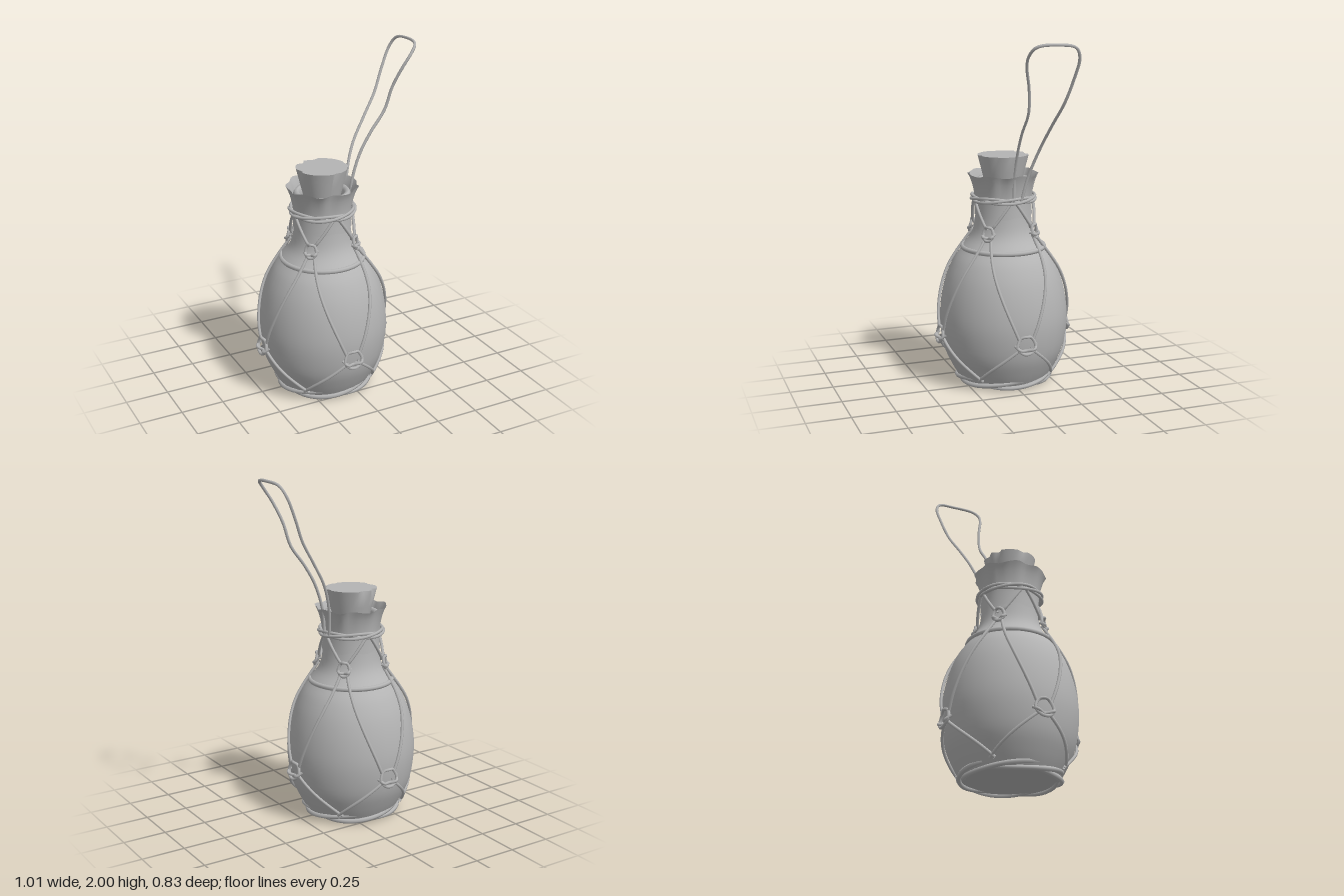
import * as THREE from 'three';

const V2 = (p) => new THREE.Vector2(p[0], p[1]);
const V3 = (p) => new THREE.Vector3(p[0], p[1], p[2]);
const polar = (a, r, y) => new THREE.Vector3(Math.sin(a) * r, y, Math.cos(a) * r);

// Outer silhouette of the bottle, [radius, height]
const lower = new THREE.SplineCurve([[0.265, 0.02], [0.31, 0.1], [0.355, 0.21], [0.376, 0.36], [0.366, 0.5],
  [0.335, 0.63], [0.29, 0.73], [0.245, 0.79]].map(V2)).getPoints(28);
const upper = new THREE.SplineCurve([[0.235, 0.815], [0.198, 0.86], [0.175, 0.91], [0.163, 0.98],
  [0.157, 1.07], [0.155, 1.16]].map(V2)).getPoints(16);
const outline = [...lower, ...upper];

// Bottle radius at a height
function radiusAt(y) {
  for (let i = 1; i < outline.length; i++) {
    const a = outline[i - 1], b = outline[i];
    if (y <= b.y) return THREE.MathUtils.lerp(a.x, b.x, Math.max(0, (y - a.y) / (b.y - a.y)));
  }
  return outline[outline.length - 1].x;
}

export function createModel() {
  const grey = new THREE.MeshStandardMaterial({ color: 0xb4b4b4, side: THREE.DoubleSide });
  grey.name = 'plain grey';
  const model = new THREE.Group();
  const vessel = new THREE.Group();
  vessel.name = 'bottle';
  vessel.position.x = -0.1;
  model.add(vessel);

  const add = (parent, name, geometry) => {
    const mesh = new THREE.Mesh(geometry, grey);
    mesh.name = name;
    parent.add(mesh);
    return mesh;
  };
  const cord = (parent, name, points, radius, segments, closed = false) => add(parent, name,
    new THREE.TubeGeometry(new THREE.CatmullRomCurve3(points, closed), segments, radius, 6, closed));

  // Body, neck, rounded lip and base
  add(vessel, 'body', new THREE.LatheGeometry(lower, 32));
  add(vessel, 'neck', new THREE.LatheGeometry(upper, 32));
  add(vessel, 'lip', new THREE.LatheGeometry([[0.155, 1.15], [0.163, 1.17], [0.163, 1.19], [0.153, 1.205],
    [0.138, 1.205], [0.127, 1.19], [0.122, 1.16], [0.12, 1.08]].map(V2), 32));
  const base = add(vessel, 'base', new THREE.CircleGeometry(0.265, 32));
  base.rotation.x = Math.PI / 2;
  base.position.y = 0.02;
  const ridge = add(vessel, 'shoulderRidge', new THREE.TorusGeometry(0.238, 0.014, 8, 40));
  ridge.rotation.x = Math.PI / 2;
  ridge.position.y = 0.803;

  // Tapered cork with chipped upper edge
  const cork = new THREE.CylinderGeometry(0.148, 0.098, 0.2, 40, 4);
  const chips = { 1: 0.93, 6: 0.95, 19: 0.9, 20: 0.86, 21: 0.93, 23: 0.88, 24: 0.84, 30: 0.93, 31: 0.9, 10: 0.95 };
  const cp = cork.attributes.position;
  for (let i = 0; i < cp.count; i++) {
    if (cp.getY(i) < 0.09) continue;
    const x = cp.getX(i), z = cp.getZ(i);
    const k = Math.round(((Math.atan2(x, z) / (2 * Math.PI)) + 1) * 40) % 40;
    const s = chips[k] ?? 1;
    cp.setXYZ(i, x * s, cp.getY(i), z * s);
  }
  cork.computeVertexNormals();
  add(vessel, 'cork', cork).position.y = 1.242;

  // Gathered cloth collar, folds growing toward the flared rim
  const cloth = new THREE.CylinderGeometry(1, 1, 1, 56, 8, true);
  const flare = new THREE.SplineCurve([[0.168, 0.99], [0.165, 1.05], [0.166, 1.1], [0.174, 1.15],
    [0.187, 1.2], [0.203, 1.235]].map(V2));
  const pos = cloth.attributes.position;
  for (let i = 0; i < pos.count; i++) {
    const t = pos.getY(i) + 0.5;
    const a = Math.atan2(pos.getX(i), pos.getZ(i));
    const p = flare.getPoint(t);
    const fold = Math.sin(a * 9) + 0.6 * Math.sin(a * 14 + 1);
    const v = polar(a, p.x + 0.0055 * fold * t * t, p.y + 0.006 * Math.sin(a * 7 + 2) * (2 * t - 1) * (2 * t - 1));
    pos.setXYZ(i, v.x, v.y, v.z);
  }
  cloth.computeVertexNormals();
  add(vessel, 'clothCollar', cloth);

  // Twisted ropes around the base and the neck
  function rope(name, strands, turns, r, y, dr, dy, thick) {
    for (let s = 0; s < strands; s++) {
      const pts = [];
      for (let i = 0; i < 40; i++) {
        const a = (i / 40) * Math.PI * 2, ph = a * turns + (s / strands) * Math.PI * 2;
        pts.push(polar(a, r + dr * Math.cos(ph), y + dy * Math.sin(ph)));
      }
      cord(vessel, name, pts, thick, 90, true);
    }
  }
  rope('baseRope', 3, 2, 0.265, 0.036, 0.014, 0.021, 0.014);
  rope('neckRope', 3, 2, 0.182, 1.094, 0.006, 0.014, 0.009);

  // Cord running over the bottle surface between two angles and heights
  function netCord(a0, y0, a1, y1) {
    const pts = [];
    for (let i = 0; i <= 8; i++) {
      const t = i / 8, y = THREE.MathUtils.lerp(y0, y1, t);
      const gap = y > 0.95 ? 0.019 : 0.011;
      pts.push(polar(THREE.MathUtils.lerp(a0, a1, t), radiusAt(y) + gap, y));
    }
    cord(vessel, 'netCord', pts, 0.009, 24);
  }

  // Loose knot: a tilted loop with a second strand hooked through it
  function knot(a, y, w, h, r) {
    const g = new THREE.Group();
    g.name = 'knot';
    g.position.copy(polar(a, r, y));
    g.rotation.y = a;
    cord(g, 'knotLoop', [[-w, -h * 0.25, 0.004], [-w * 0.6, h * 0.8, -0.002], [0, h, 0.008], [w * 0.6, h * 0.8, -0.002],
      [w, -h * 0.25, 0.004], [w * 0.4, -h, 0.014], [-w * 0.4, -h, 0.014]].map(V3), 0.009, 36, true);
    cord(g, 'knotHook', [[-w * 1.15, -h * 0.1, -0.012], [-w * 0.8, -h * 0.5, 0.018], [0, -h * 0.7, -0.002],
      [w * 0.8, -h * 0.5, 0.018], [w * 1.15, 0, -0.012]].map(V3), 0.009, 20);
    vessel.add(g);
  }

  // Diamond net, repeated on four sides
  for (let q = 0; q < 4; q++) {
    const a = q * Math.PI / 2;
    knot(a, 0.31, 0.054, 0.048, 0.388);
    knot(a + Math.PI / 4, 0.91, 0.032, 0.038, 0.198);
    for (const s of [-1, 1]) {
      netCord(a + s * 0.83, 0.06, a + s * 0.07, 0.285);
      netCord(a + s * 0.11, 0.34, a + s * (Math.PI / 4 - 0.08), 0.89);
      netCord(a + s * (Math.PI / 4 - 0.08), 0.93, a + s * 0.04, 1.095);
    }
  }

  // Long hanging loop tied at the neck
  cord(model, 'hangingLoop', [[0.08, 1.08, 0], [0.09, 1.22, 0], [0.14, 1.38, 0], [0.21, 1.5, 0], [0.3, 1.62, -0.003],
    [0.34, 1.75, 0.01], [0.39, 1.87, 0.042], [0.43, 1.93, 0.048], [0.475, 1.98, 0.02], [0.492, 1.991, -0.1],
    [0.48, 1.975, -0.2], [0.455, 1.92, -0.232], [0.4, 1.8, -0.222], [0.34, 1.67, -0.195], [0.25, 1.54, -0.16],
    [0.16, 1.4, -0.125], [0.1, 1.24, -0.08], [0.078, 1.09, -0.045]].map(V3), 0.0085, 110);

  return model;
}
